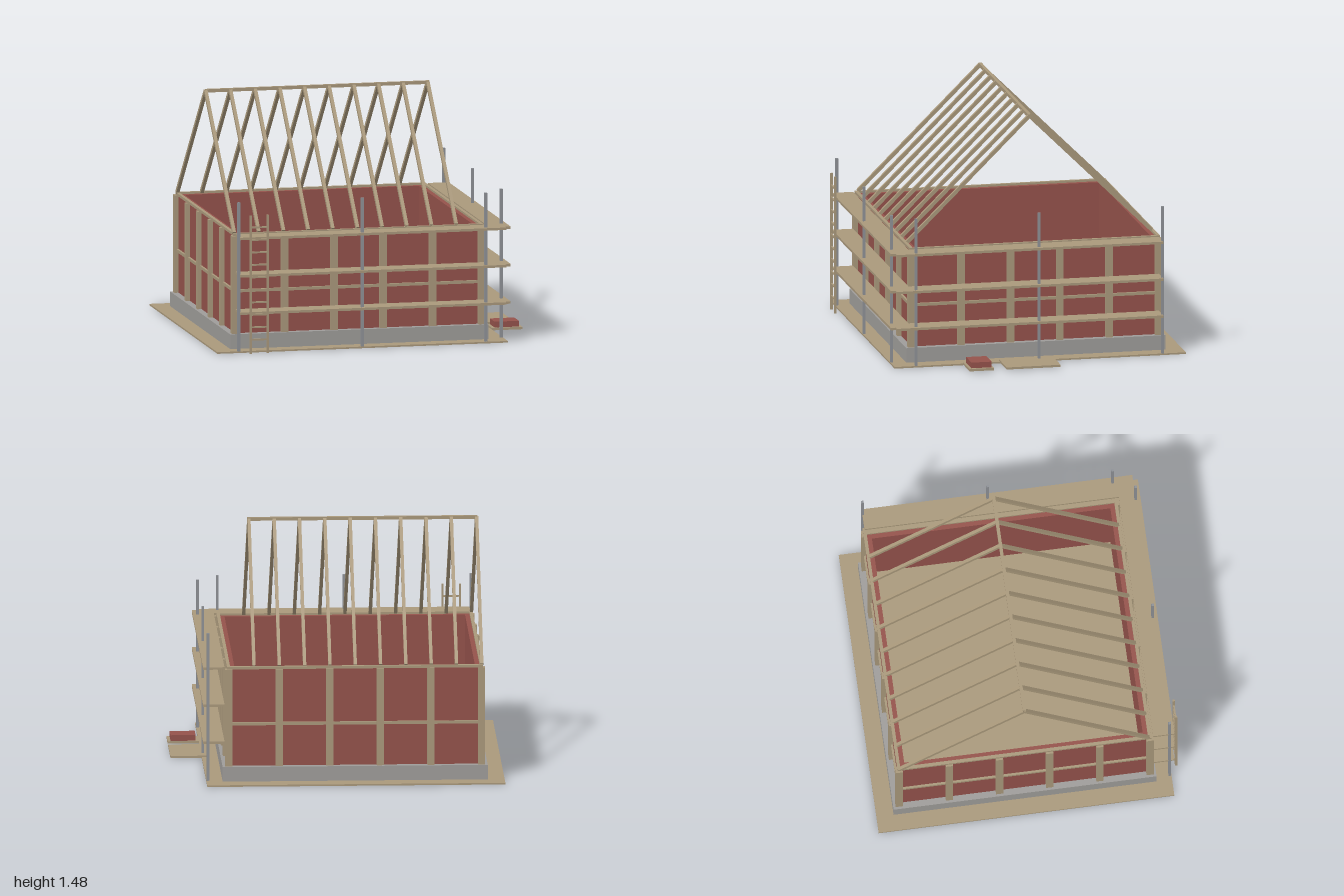
import * as THREE from 'three';

export function createModel() {
  const root = new THREE.Group();
  root.name = 'houseUnderConstruction';

  const material = (name, color) => {
    const m = new THREE.MeshStandardMaterial({ color });
    m.name = name;
    return m;
  };
  const timber = material('timber', 0xa9987b);
  const brick = material('brick', 0x94524b);
  const concrete = material('concrete', 0x9e9c99);
  const steel = material('steel', 0x8e9196);

  const group = (name) => {
    const g = new THREE.Group();
    g.name = name;
    root.add(g);
    return g;
  };
  // Box given by its limits on each axis
  const box = (parent, name, mat, x0, x1, y0, y1, z0, z1) => {
    const mesh = new THREE.Mesh(new THREE.BoxGeometry(x1 - x0, y1 - y0, z1 - z0), mat);
    mesh.position.set((x0 + x1) / 2, (y0 + y1) / 2, (z0 + z1) / 2);
    mesh.name = name;
    parent.add(mesh);
    return mesh;
  };

  // Ground sheet, footing and floor
  const CX = -0.0925, CZ = -0.02; // centre of the house
  box(root, 'groundSheet', timber, -1, 0.81, 0, 0.01, -0.93, 0.88);
  box(root, 'foundation', concrete, CX - 0.805, CX + 0.805, 0.01, 0.1, CZ - 0.805, CZ + 0.805);
  box(root, 'floor', timber, CX - 0.735, CX + 0.735, 0.095, 0.105, CZ - 0.735, CZ + 0.735);

  // Four identical framed walls turned about the centre
  const H = 0.768, STEP = (2 * H) / 5;
  for (let side = 0; side < 4; side++) {
    const wall = group('wall' + (side + 1));
    wall.position.set(CX, 0, CZ);
    wall.rotation.y = (side * Math.PI) / 2;
    box(wall, 'brickPanel', brick, -0.73, 0.765, 0.1, 0.703, 0.73, 0.765);
    box(wall, 'middleRail', timber, -H, H, 0.352, 0.37, H - 0.01, H + 0.01);
    box(wall, 'topPlate', timber, -H - 0.01, H - 0.01, 0.7, 0.716, H - 0.01, H + 0.01);
    for (let i = 0; i < 5; i++) {
      const x = -H + i * STEP;
      box(wall, 'post', timber, x - 0.022, x + 0.022, 0.1, 0.7, H - 0.022, H + 0.022);
    }
  }

  // Roof: ten rafter pairs and a ridge beam
  const roof = group('roofFrame');
  const run = 0.76, rise = 0.75;
  for (let i = 0; i < 10; i++) {
    const x = -0.863 + i * 0.1537;
    for (const s of [-1, 1]) {
      const rafter = new THREE.Mesh(
        new THREE.BoxGeometry(0.02, 0.022, Math.hypot(run, rise)), timber);
      rafter.position.set(x, 0.715 + rise / 2, CZ + (s * run) / 2);
      rafter.rotation.x = s * Math.atan2(rise, run);
      rafter.name = 'rafter';
      roof.add(rafter);
    }
  }
  box(roof, 'ridgeBeam', timber, -0.865, 0.53, 1.456, 1.476, CZ - 0.01, CZ + 0.01);

  // Scaffold poles along the front and the left side
  const scaffold = group('scaffold');
  const poles = [[-0.865, 0.87], [-0.095, 0.87], [0.675, 0.87],
    [0.8, 0.745], [0.8, -0.02], [0.8, -0.787]];
  for (const [x, z] of poles) {
    box(scaffold, 'scaffoldPole', steel, x - 0.008, x + 0.008, 0.005, 0.925, z - 0.008, z + 0.008);
  }

  // Three L-shaped walkways round the corner
  const outline = [[-0.86, 0.9], [0.797, 0.9], [0.797, 0.87], [0.83, 0.87],
    [0.83, -0.787], [0.7, -0.787], [0.7, 0.77], [-0.86, 0.77]];
  const walkShape = new THREE.Shape(outline.map(([x, z]) => new THREE.Vector2(x, -z)));
  const walkGeometry = new THREE.ExtrudeGeometry(walkShape, { depth: 0.015, bevelEnabled: false });
  walkGeometry.rotateX(-Math.PI / 2);
  for (const y of [0.237, 0.467, 0.697]) {
    const walk = new THREE.Mesh(walkGeometry, timber);
    walk.position.y = y;
    walk.name = 'walkway';
    scaffold.add(walk);
  }

  // Ladder
  const ladder = group('ladder');
  for (const x of [-0.802, -0.696]) {
    box(ladder, 'ladderRail', timber, x - 0.006, x + 0.006, 0, 0.85, 0.91, 0.924);
  }
  for (let i = 0; i < 10; i++) {
    const y = 0.085 + i * 0.0767;
    box(ladder, 'rung', timber, -0.8, -0.698, y - 0.005, y + 0.005, 0.912, 0.922);
  }

  // Building supplies beside the house
  const supplies = group('supplies');
  box(supplies, 'boardStack', timber, 0.78, 1, 0.005, 0.018, -0.11, 0.225);
  box(supplies, 'pallet', timber, 0.81, 1, 0.005, 0.02, 0.305, 0.455);
  box(supplies, 'brickStack', brick, 0.83, 0.982, 0.02, 0.055, 0.315, 0.44);

  return root;
}
